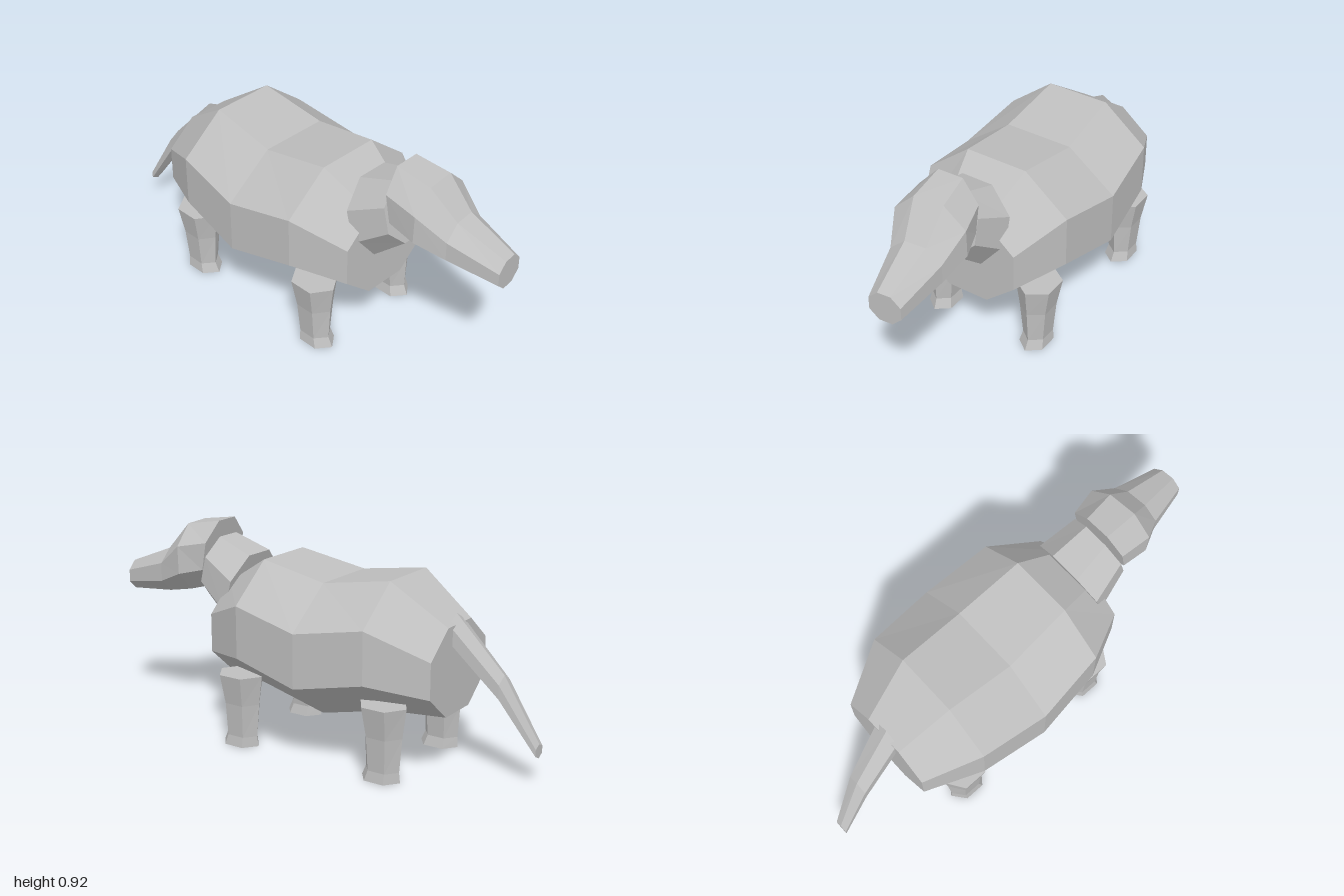
import * as THREE from 'three';

const hide = new THREE.MeshStandardMaterial({ color: 0xbfbfbf, flatShading: true });
hide.name = 'grey hide';

// Skin a list of rings (anticlockwise about the direction of travel) and cap both ends.
function loft(name, rings) {
  const pos = [];
  const tri = (a, b, c) => [a, b, c].forEach((p) => pos.push(p.x, p.y, p.z));
  const n = rings[0].length;
  for (let i = 0; i < rings.length - 1; i++) {
    const a = rings[i], b = rings[i + 1];
    for (let k = 0; k < n; k++) {
      const m = (k + 1) % n;
      tri(a[k], a[m], b[m]);
      tri(a[k], b[m], b[k]);
    }
  }
  const first = rings[0], last = rings[rings.length - 1];
  for (let k = 1; k < n - 1; k++) {
    tri(first[0], first[k + 1], first[k]);
    tri(last[0], last[k], last[k + 1]);
  }
  const geo = new THREE.BufferGeometry();
  geo.setAttribute('position', new THREE.Float32BufferAttribute(pos, 3));
  geo.computeVertexNormals();
  const mesh = new THREE.Mesh(geo, hide);
  mesh.name = name;
  return mesh;
}

// Octagon facing z with flat top: x, half width, bottom, top, z, lean (dz/dy), yaw (dz/dx).
function octagon([x, rx, y0, y1, z, lean = 0, yaw = 0]) {
  const s = Math.cos(Math.PI / 8), cy = (y0 + y1) / 2, ry = (y1 - y0) / 2;
  return Array.from({ length: 8 }, (_, k) => {
    const a = ((k + 0.5) * Math.PI) / 4;
    const dx = (rx * Math.cos(a)) / s, dy = (ry * Math.sin(a)) / s;
    return new THREE.Vector3(x + dx, cy + dy, z + lean * dy + yaw * dx);
  });
}

// Hexagon facing z with a ridge on top and bottom.
function hexagon([x, rx, y0, y1, z]) {
  return Array.from({ length: 6 }, (_, k) => {
    const a = Math.PI / 6 + (k * Math.PI) / 3;
    return new THREE.Vector3(
      x + (rx * Math.cos(a)) / Math.cos(Math.PI / 6),
      (y0 + y1) / 2 + ((y1 - y0) / 2) * Math.sin(a), z);
  });
}

// Level hexagon with a ridge to front and back, for the legs.
function legRing([y, x, rx, z, rz]) {
  return Array.from({ length: 6 }, (_, k) => {
    const a = Math.PI / 6 + (k * Math.PI) / 3;
    return new THREE.Vector3(
      x + (rx * Math.cos(a)) / Math.cos(Math.PI / 6), y, z - rz * Math.sin(a));
  });
}

export function createModel() {
  const model = new THREE.Group();
  model.name = 'animal';

  // Barrel body, rump to chest
  model.add(loft('body', [
    [0, 0.225, 0.26, 0.63, -0.66],
    [0, 0.338, 0.255, 0.795, -0.42],
    [0, 0.37, 0.185, 0.745, -0.11],
    [0, 0.338, 0.255, 0.8, 0.2],
    [0, 0.23, 0.265, 0.665, 0.42],
  ].map(octagon)));

  // Neck rising from the chest
  model.add(loft('neck', [
    [0, 0.172, 0.445, 0.785, 0.376, -0.26],
    [0, 0.138, 0.575, 0.845, 0.535, -0.24],
  ].map(octagon)));

  // Head turned slightly to the left, crown to muzzle
  model.add(loft('head', [
    [0.002, 0.137, 0.62, 0.915, 0.532, -0.18, -0.03],
    [0.017, 0.157, 0.595, 0.89, 0.66, 0.03, -0.09],
    [0.034, 0.113, 0.57, 0.765, 0.778, 0, -0.09],
    [0.05, 0.07, 0.55, 0.68, 0.993, 0, -0.09],
  ].map(octagon)));

  // Drooping tail, tip to root
  model.add(loft('tail', [
    [-0.055, 0.03, 0.115, 0.175, -1],
    [-0.028, 0.048, 0.325, 0.44, -0.85],
    [-0.003, 0.063, 0.53, 0.668, -0.643],
  ].map(hexagon)));

  // Four legs, sole to top
  for (const [end, z] of [['front', 0.25], ['back', -0.46]]) {
    for (const [side, s] of [['Left', 1], ['Right', -1]]) {
      model.add(loft(`${end}${side}Leg`, [
        [0, s * 0.238, 0.058, z + 0.01, 0.09],
        [0.045, s * 0.24, 0.05, z + 0.002, 0.078],
        [0.19, s * 0.238, 0.063, z, 0.087],
        [0.32, s * 0.243, 0.081, z, 0.107],
      ].map(legRing)));
    }
  }
  return model;
}
